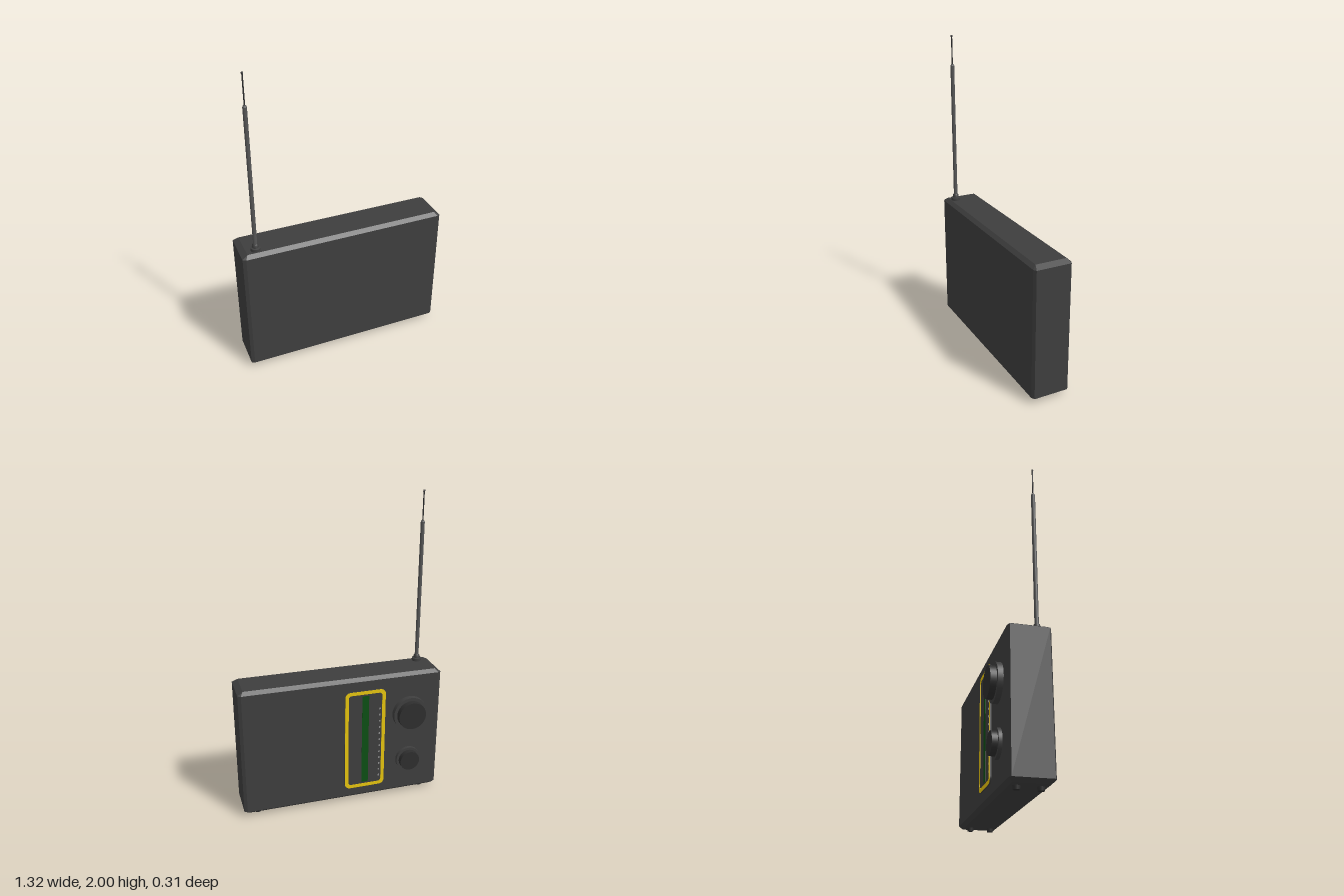
import * as THREE from 'three';
import { ConvexGeometry } from 'three/addons/geometries/ConvexGeometry.js';

const paint = (name, color) => {
  const m = new THREE.MeshStandardMaterial({ color });
  m.name = name;
  return m;
};

// Rounded rectangle outline, usable as a shape or a hole
function roundedRect(Type, x0, y0, x1, y1, r) {
  const p = new Type();
  p.absarc(x1 - r, y0 + r, r, -Math.PI / 2, 0);
  p.absarc(x1 - r, y1 - r, r, 0, Math.PI / 2);
  p.absarc(x0 + r, y1 - r, r, Math.PI / 2, Math.PI);
  p.absarc(x0 + r, y0 + r, r, Math.PI, Math.PI * 1.5);
  p.closePath();
  return p;
}

export function createModel() {
  const shell = paint('charcoal shell', 0x3e3e3e);
  const black = paint('black plastic', 0x2e2e2e);
  const metal = paint('grey metal', 0x565656);
  const yellow = paint('yellow trim', 0xf5d010);
  const green = paint('green scale', 0x0c4f14);
  const mark = paint('pale marks', 0x8c8c8c);

  const radio = new THREE.Group();
  radio.name = 'radio';
  const add = (parent, name, geometry, material, x = 0, y = 0, z = 0) => {
    const mesh = new THREE.Mesh(geometry, material);
    mesh.name = name;
    mesh.position.set(x, y, z);
    parent.add(mesh);
    return mesh;
  };

  // Case: box with every edge bevelled
  const zc = 0.0325, half = [0.66, 0.4325, 0.1225], cut = [0.035, 0.021, 0.023];
  const corners = [];
  for (const sx of [-1, 1]) for (const sy of [-1, 1]) for (const sz of [-1, 1]) {
    const [X, Y, Z] = half, [a, b, c] = cut;
    corners.push(
      new THREE.Vector3(sx * (X - a), sy * Y, sz * (Z - c)),
      new THREE.Vector3(sx * X, sy * (Y - b), sz * (Z - 0.011)),
      new THREE.Vector3(sx * (X - 0.02), sy * (Y - b), sz * Z));
  }
  add(radio, 'case', new ConvexGeometry(corners), shell, 0, 0.4525, zc);

  // Feet
  for (const x of [-0.565, 0.565]) for (const z of [-0.03, 0.097])
    add(radio, 'foot', new THREE.CylinderGeometry(0.021, 0.018, 0.024, 20), black, x, 0.012, z);

  // Telescopic antenna
  const antenna = new THREE.Group();
  antenna.name = 'antenna';
  antenna.position.set(-0.565, 0, 0.098);
  radio.add(antenna);
  const turned = (pts) => new THREE.LatheGeometry(pts.map(([r, y]) => new THREE.Vector2(r, y)), 20);
  add(antenna, 'antennaBase', turned([[0.03, 0.88], [0.03, 0.903], [0.03, 0.903], [0.02, 0.906],
    [0.02, 0.906], [0.019, 0.922], [0.012, 0.93]]), shell);
  add(antenna, 'antennaTube', turned([[0.0125, 0.92], [0.0125, 1.805], [0.0125, 1.805],
    [0.008, 1.814], [0, 1.814]]), metal);
  add(antenna, 'antennaTip', turned([[0.004, 1.81], [0.004, 1.985], [0.006, 1.988],
    [0.006, 1.998], [0, 2]]), black);

  // Control side, built facing +z and turned to the rear
  const controls = new THREE.Group();
  controls.name = 'controls';
  controls.rotation.y = Math.PI;
  radio.add(controls);
  const disc = (name, r, depth, material, y, z) => {
    const g = new THREE.CylinderGeometry(r * 0.99, r, depth, 40).rotateX(Math.PI / 2);
    add(controls, name, g, material, 0.448, y, z + depth / 2);
  };
  disc('tuningCollar', 0.115, 0.034, shell, 0.605, 0.087);
  disc('tuningKnob', 0.093, 0.036, black, 0.605, 0.121);
  disc('volumeCollar', 0.084, 0.023, shell, 0.265, 0.087);
  disc('volumeKnob', 0.067, 0.032, black, 0.265, 0.11);

  // Tuning window: plate, trim, green scale and tick marks
  const slab = (shape, depth) =>
    new THREE.ExtrudeGeometry(shape, { depth, bevelEnabled: false, curveSegments: 6 });
  const plate = roundedRect(THREE.Shape, 0.01, 0.1, 0.28, 0.8, 0.035);
  add(controls, 'dialPlate', slab(plate, 0.009), shell, 0, 0, 0.089);
  const trim = roundedRect(THREE.Shape, 0.01, 0.1, 0.28, 0.8, 0.035);
  trim.holes.push(roundedRect(THREE.Path, 0.033, 0.123, 0.257, 0.777, 0.02));
  add(controls, 'dialTrim', slab(trim, 0.002), yellow, 0, 0, 0.098);
  add(controls, 'dialScale', new THREE.BoxGeometry(0.045, 0.63, 0.002), green, 0.146, 0.45, 0.0985);
  for (let i = 0; i < 12; i++)
    add(controls, 'dialTick', new THREE.BoxGeometry(0.01, 0.012, 0.002), mark, 0.243, 0.17 + i * 0.045, 0.0985);
  return radio;
}
